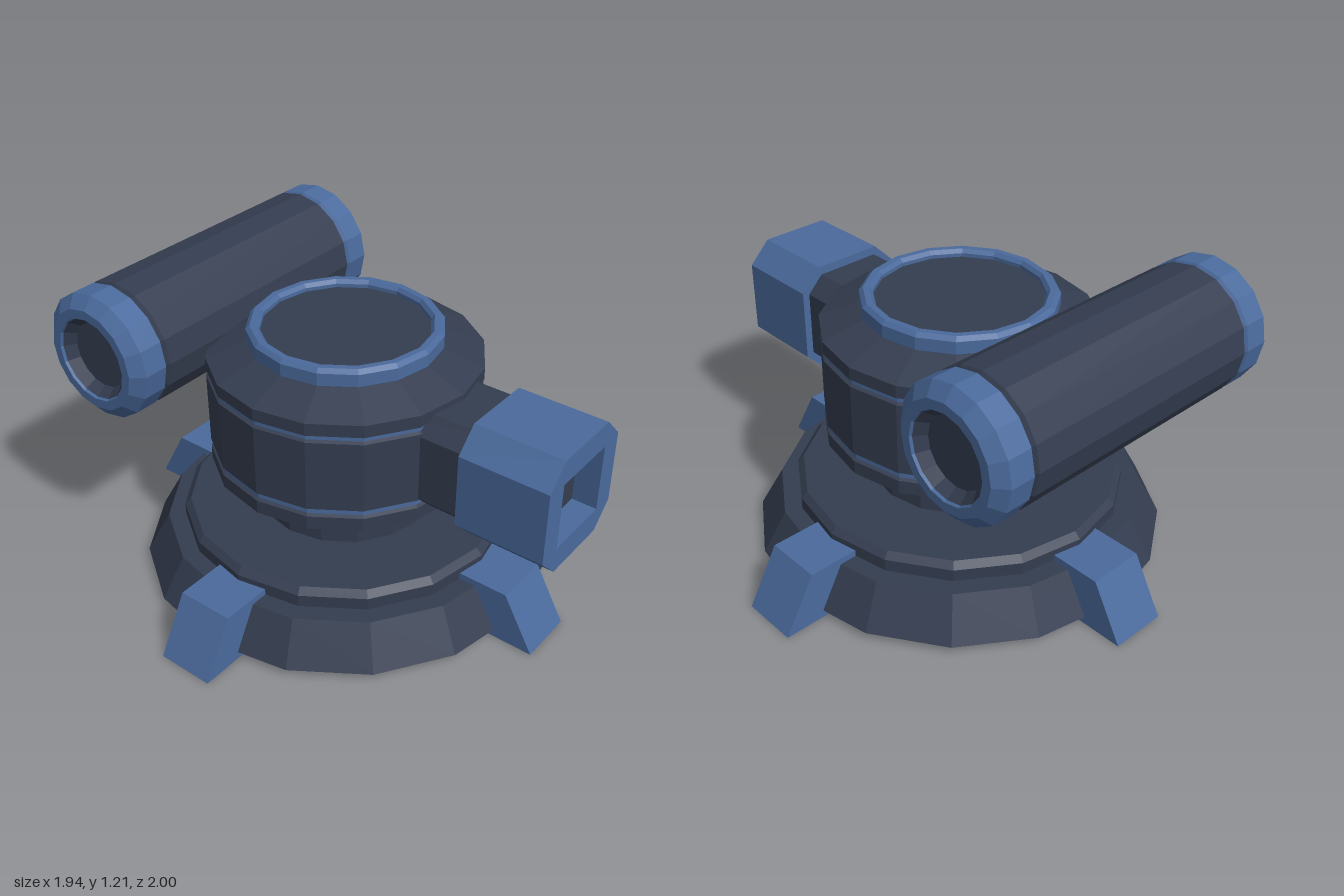
import * as THREE from 'three';

const SIDES = 16;
const AXIS_Z = -0.035; // vertical axis of the base and turret

export function createModel() {
  const dark = new THREE.MeshStandardMaterial({ color: 0x343d50, flatShading: true });
  const blue = new THREE.MeshStandardMaterial({ color: 0x4a6a9c, flatShading: true });
  const model = new THREE.Group();
  model.name = 'turret';

  const add = (name, geometry, material, parent = model) => {
    const mesh = new THREE.Mesh(geometry, material);
    mesh.name = name;
    parent.add(mesh);
    return mesh;
  };
  // profile: [radius, height] pairs, bottom to top
  const lathe = (profile) =>
    new THREE.LatheGeometry(profile.map(([r, y]) => new THREE.Vector2(r, y)), SIDES);
  const polygon = (points) => new THREE.Shape(points.map(([x, y]) => new THREE.Vector2(x, y)));
  const extrude = (shape, depth) =>
    new THREE.ExtrudeGeometry(shape, { depth, bevelEnabled: false });
  const octagon = (w, h, c) => polygon([
    [-w + c, -h], [w - c, -h], [w, -h + c], [w, h - c],
    [w - c, h], [-w + c, h], [-w, h - c], [-w, -h + c],
  ]);

  // Round parts on the vertical axis
  const column = new THREE.Group();
  column.name = 'column';
  column.position.z = AXIS_Z;
  model.add(column);

  add('base', lathe([
    [0, 0.03], [0.825, 0.03], [0.73, 0.2], [0.66, 0.2], [0.66, 0.25], [0.635, 0.275], [0, 0.275],
  ]), dark, column);
  add('neck', lathe([[0.36, 0.27], [0.36, 0.41]]), dark, column);
  add('turretBody', lathe([
    [0, 0.4], [0.37, 0.4], [0.535, 0.47], [0.535, 0.525], [0.515, 0.535],
    [0.515, 0.55], [0.535, 0.56], [0.535, 0.85], [0.515, 0.86],
    [0.515, 0.872], [0.535, 0.88], [0.535, 0.93], [0.38, 0.99], [0, 0.99],
  ]), dark, column);
  for (const [name, y, h] of [['lowerBand', 0.5425, 0.018], ['upperBand', 0.866, 0.016]]) {
    add(name, new THREE.CylinderGeometry(0.524, 0.524, h, SIDES), blue, column).position.y = y;
  }
  add('topRing', lathe([
    [0.378, 0.98], [0.378, 1.04], [0.362, 1.055], [0.338, 1.055], [0.325, 1.04], [0.325, 0.99],
  ]), blue, column);
  add('hatch', new THREE.CylinderGeometry(0.327, 0.327, 0.05, SIDES), dark, column).position.y = 1.0;

  // Four feet around the base
  const footShape = polygon([[0.34, 0], [0.968, 0], [0.84, 0.226], [0.47, 0.226]]);
  for (let i = 0; i < 4; i++) {
    const geometry = extrude(footShape, 0.23).translate(0, 0, -0.115);
    add('foot' + (i + 1), geometry, blue, column).rotation.y = i * Math.PI / 2;
  }

  // Front gun: dark connector, hollow blue muzzle, dark floor in the muzzle
  const gun = new THREE.Group();
  gun.name = 'gun';
  gun.position.y = 0.704;
  model.add(gun);
  add('gunConnector', extrude(octagon(0.205, 0.203, 0.067), 0.46), dark, gun).position.z = 0.2;
  const muzzle = octagon(0.236, 0.238, 0.09);
  muzzle.holes.push(new THREE.Path([
    [-0.142, -0.137], [-0.142, 0.137], [0.142, 0.137], [0.142, -0.137],
  ].map(([x, y]) => new THREE.Vector2(x, y))));
  add('muzzle', extrude(muzzle, 0.36), blue, gun).position.z = 0.64;
  add('muzzleFloor', new THREE.BoxGeometry(0.285, 0.275, 0.24), dark, gun).position.z = 0.78;

  // Rear canister lying along x
  const canister = new THREE.Group();
  canister.name = 'canister';
  canister.position.set(0, 0.956, -0.697);
  canister.rotation.z = -Math.PI / 2;
  model.add(canister);
  add('canisterTube', lathe([
    [0.235, -0.56], [0.235, -0.54], [0.254, -0.525], [0.254, 0.525], [0.235, 0.54], [0.235, 0.56],
  ]), dark, canister);
  for (const side of [1, -1]) {
    const end = new THREE.Group();
    end.name = side > 0 ? 'leftEnd' : 'rightEnd';
    if (side < 0) end.rotation.x = Math.PI;
    canister.add(end);
    add('endCap', lathe([
      [0.2, 0.535], [0.24, 0.535], [0.254, 0.547], [0.254, 0.645],
      [0.205, 0.686], [0.168, 0.686], [0.162, 0.675],
    ]), blue, end);
    add('endRecess', lathe([[0.164, 0.678], [0.132, 0.635], [0, 0.635]]), dark, end);
  }
  return model;
}
